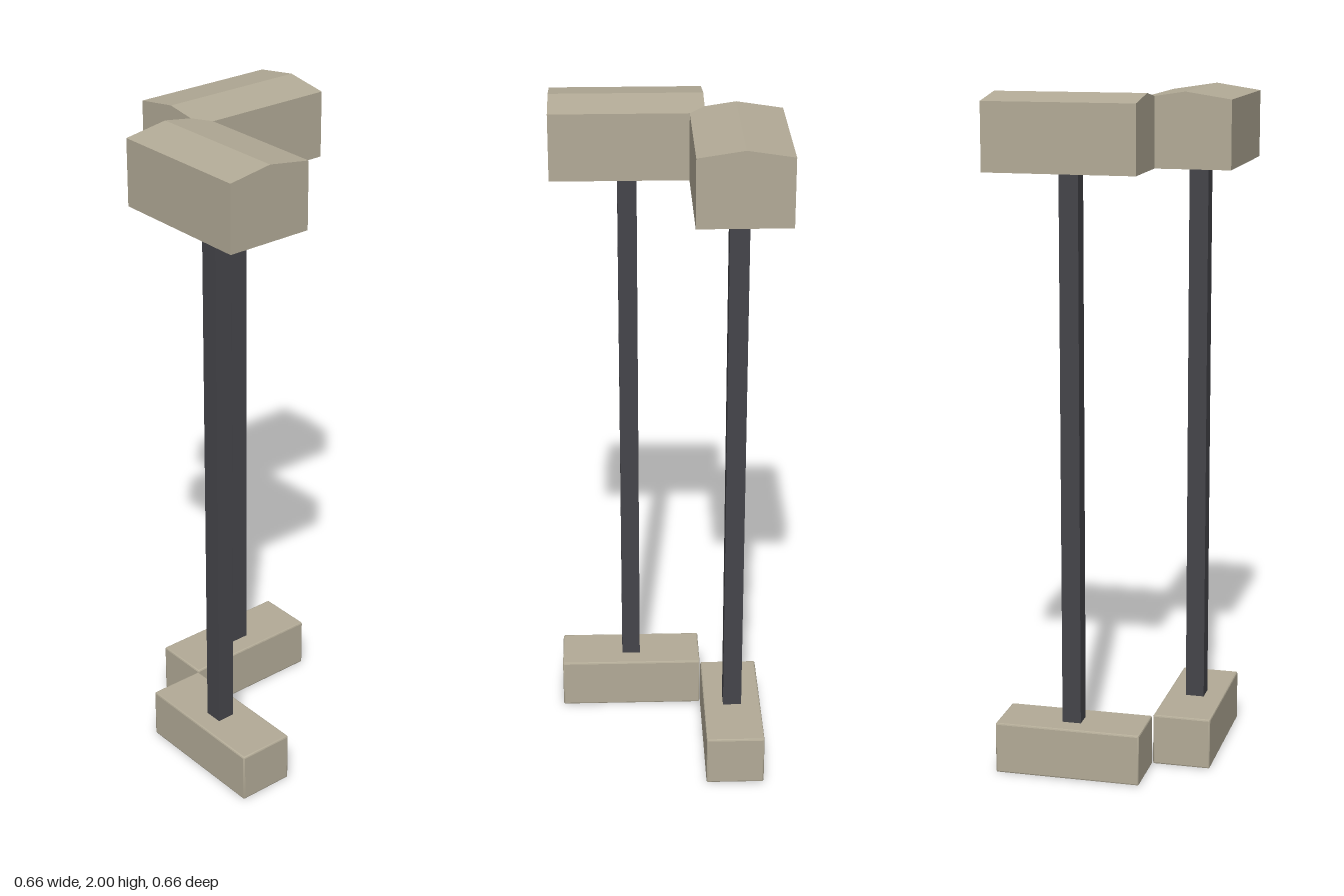
import * as THREE from 'three';
import { RoundedBoxGeometry } from 'three/addons/geometries/RoundedBoxGeometry.js';
import { toCreasedNormals } from 'three/addons/utils/BufferGeometryUtils.js';

export function createModel() {
  const stone = new THREE.MeshStandardMaterial({ color: 0xb3ab97 });
  stone.name = 'stone';
  const darkMetal = new THREE.MeshStandardMaterial({ color: 0x45454a });
  darkMetal.name = 'darkMetal';

  const axis = -0.198; // centre line of each half
  const mid = 0.109;   // middle along each half's length
  const capBottom = 1.785;
  const baseTop = 0.155;

  // One half, running along z: base block, square post and ridged cap
  function createHalf(name) {
    const half = new THREE.Group();
    half.name = name;
    const add = (partName, geometry, material, x, y, z) => {
      const mesh = new THREE.Mesh(geometry, material);
      mesh.name = partName;
      mesh.position.set(x, y, z);
      half.add(mesh);
    };

    // Base with a narrow chamfer
    const base = toCreasedNormals(new RoundedBoxGeometry(0.174, baseTop, 0.437, 1, 0.005), 0.3);
    add('base', base, stone, axis, baseTop / 2, mid);

    // Post, sunk slightly into base and cap
    const postHeight = capBottom - baseTop + 0.02;
    add('post', new THREE.BoxGeometry(0.056, postHeight, 0.056), darkMetal,
      axis, (capBottom + baseTop) / 2, mid);

    // Cap with a shallow gable
    const w = 0.1315;
    const profile = new THREE.Shape([[-w, 0], [w, 0], [w, 0.195], [0, 0.215], [-w, 0.195]]
      .map(([x, y]) => new THREE.Vector2(x, y)));
    const cap = new THREE.ExtrudeGeometry(profile, { depth: 0.44, bevelEnabled: false });
    add('cap', cap, stone, axis, capBottom, -0.11);
    return half;
  }

  const model = new THREE.Group();
  model.name = 'cornerPosts';
  model.add(createHalf('rightHalf'));

  // The other half is the same shape with x and z swapped
  const backHalf = createHalf('backHalf');
  backHalf.rotation.y = Math.PI / 2;
  for (const part of backHalf.children) {
    part.position.x *= -1;
    if (part.name === 'cap') part.position.z = -0.11;
  }
  // A quarter turn maps (x, z) to (z, -x)
  model.add(backHalf);
  return model;
}
